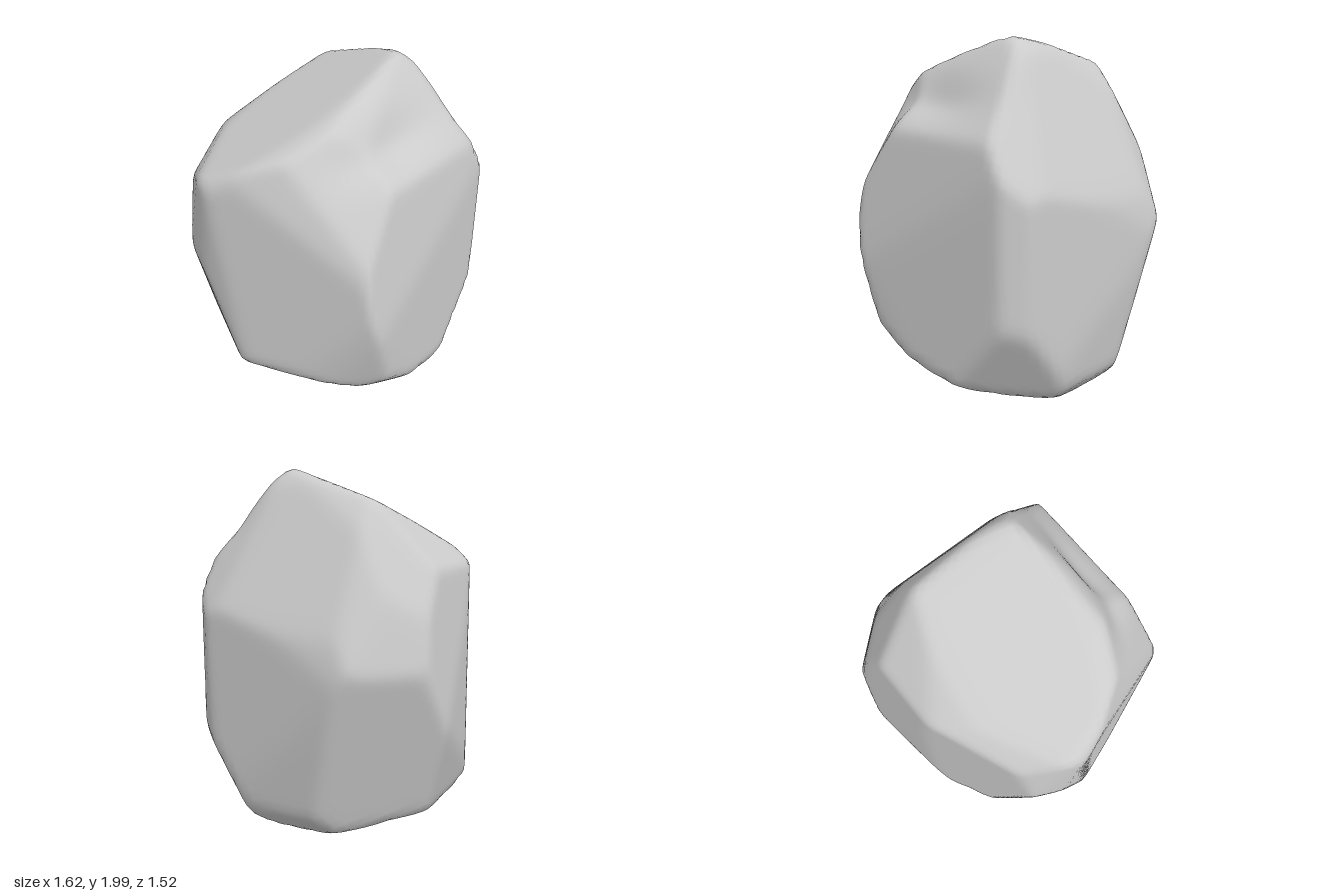
import * as THREE from 'three';
import { mergeVertices } from 'three/addons/utils/BufferGeometryUtils.js';

// Planes that trim a block to a convex outline seen along one direction (degrees).
// Outline points are measured from the middle of the boulder.
function trim(azimuth, elevation, outline) {
  const a = THREE.MathUtils.degToRad(azimuth), e = THREE.MathUtils.degToRad(elevation);
  const along = new THREE.Vector3(Math.sin(a) * Math.cos(e), Math.sin(e), Math.cos(a) * Math.cos(e));
  const right = new THREE.Vector3(Math.cos(a), 0, -Math.sin(a));
  const up = along.clone().cross(right);
  return outline.map(([u, v], i) => {
    const [u2, v2] = outline[(i + 1) % outline.length];
    const n = new THREE.Vector2(v2 - v, u - u2).normalize();
    const distance = n.x * u + n.y * v;
    // Dividing by the signed distance makes each plane normal . p = 1 and points it outward
    return right.clone().multiplyScalar(n.x).addScaledVector(up, n.y).divideScalar(distance);
  });
}

// Sphere whose points are pushed out to the planes, with softened edges
function carve(planes, sharpness) {
  const ball = new THREE.IcosahedronGeometry(1, 26);
  ball.deleteAttribute('uv');
  ball.deleteAttribute('normal');
  const geometry = mergeVertices(ball, 1e-4);
  const pos = geometry.attributes.position;
  const hollowCentre = new THREE.Vector3(-0.1, 0.66, 0.5);
  const p = new THREE.Vector3(), q = new THREE.Vector3();
  for (let i = 0; i < pos.count; i++) {
    p.fromBufferAttribute(pos, i);
    const sum = planes.reduce((s, plane) => s + Math.max(0, plane.dot(p)) ** sharpness, 0);
    p.multiplyScalar(sum ** (-1 / sharpness));
    // Shallow hollow below the peak at the front
    q.subVectors(p, hollowCentre);
    p.multiplyScalar(1 - 0.07 * Math.exp(-(0.15 * q.x ** 2 + q.y ** 2 + q.z ** 2) / 0.02));
    pos.setXYZ(i, p.x, p.y, p.z);
  }
  geometry.computeVertexNormals();
  return geometry;
}

export function createModel() {
  const planes = [
    // Front to back
    ...trim(0, 0, [[-0.76, -0.7], [-0.82, 0.43], [-0.72, 0.6], [-0.37, 0.78], [0.27, 1.02],
      [0.36, 1], [0.77, 0.12], [0.82, -0.13], [0.72, -0.89], [0.61, -1.01]]),
    // Side to side
    ...trim(90, 0, [[-0.73, -0.89], [-0.25, -1.01], [0.15, -1.01], [0.63, -0.88], [0.77, -0.38],
      [0.67, 0.46], [0.32, 0.84], [-0.25, 1.02], [-0.65, 0.48], [-0.77, -0.34]]),
    // Top to bottom
    ...trim(0, 90, [[-0.5, -0.77], [0.6, -0.67], [0.71, -0.56], [0.82, 0.4], [0.58, 0.69],
      [0.4, 0.78], [-0.1, 0.69], [-0.73, 0.41], [-0.82, 0.15]]),
    // Three diagonals
    ...trim(35, 25, [[-0.62, 0.7], [0.5, 0.78], [0.77, 0.34], [0.89, -0.08], [0.69, -0.92],
      [0.42, -1.13], [-0.05, -1.15], [-0.4, -1.05], [-0.7, -0.78], [-0.88, -0.25]]),
    ...trim(-145, 25, [[-0.06, 1.07], [-0.2, 1.04], [-0.61, 0.62], [-0.9, 0.01], [-0.6, -0.97],
      [-0.27, -1], [0.59, -0.83], [0.73, -0.63], [0.87, 0.15], [0.5, 0.73]]),
    ...trim(145, -25, [[-0.36, 0.92], [-0.1, 0.98], [0.55, 0.59], [0.78, 0.33], [0.83, -0.06],
      [0.62, -0.82], [-0.15, -1.04], [-0.62, -0.98], [-0.89, -0.5], [-0.91, 0.14], [-0.5, 0.81]]),
  ];

  const boulder = new THREE.Mesh(carve(planes, 110), new THREE.MeshStandardMaterial({ color: 0xcccccc }));
  boulder.name = 'boulder';
  boulder.position.y = 1;

  const group = new THREE.Group();
  group.add(boulder);
  return group;
}
